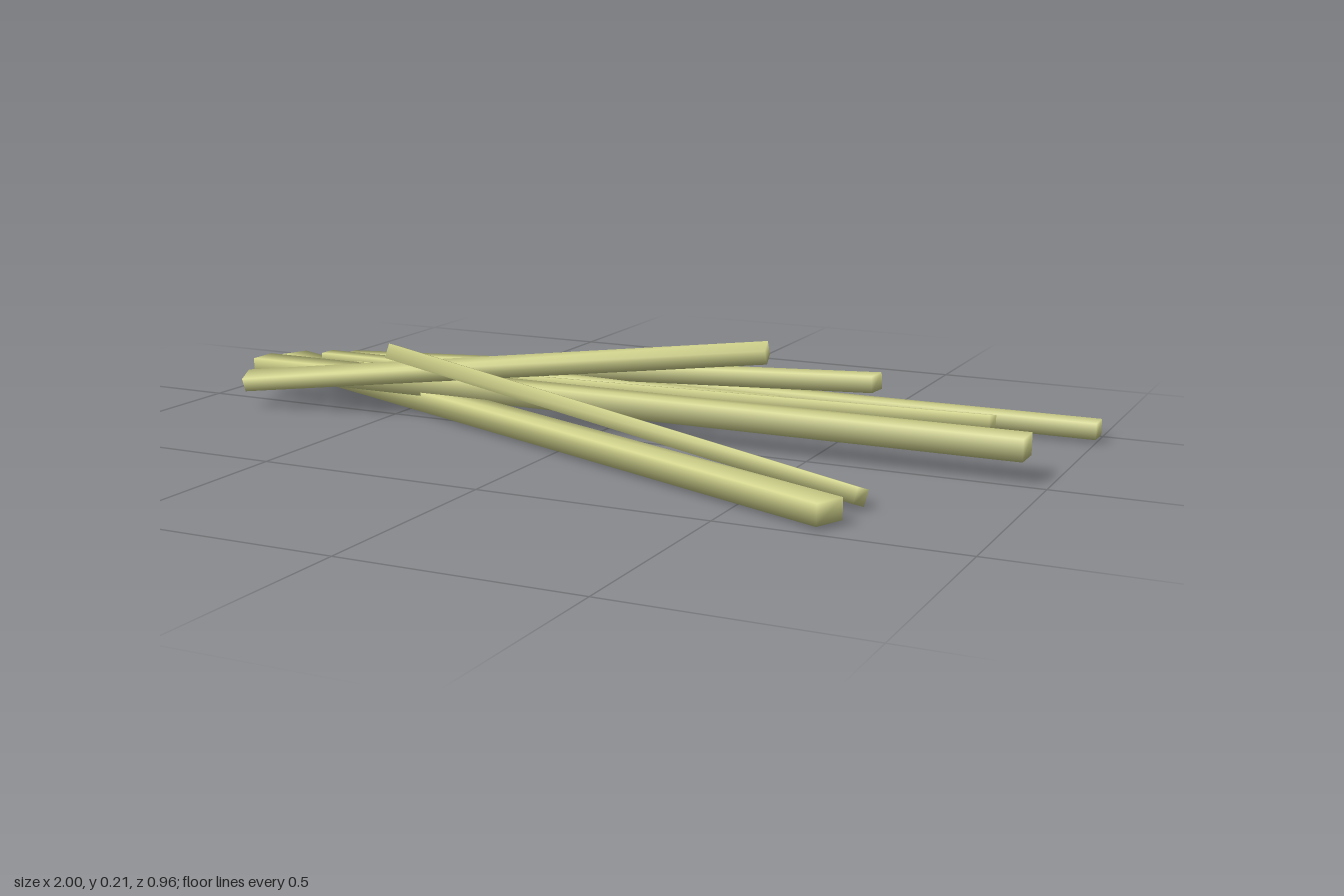
import * as THREE from 'three';
import { mergeVertices } from 'three/addons/utils/BufferGeometryUtils.js';

// name, left end, right end, height, width, roll about the plank's own length
const PLANKS = [
  ['rearPlank', [-0.45, 0.028, -0.456], [1, 0.028, -0.456], 0.036, 0.054, 0],
  ['leaningRearPlank', [-0.88, 0.03, -0.385], [0.565, 0.129, -0.25], 0.036, 0.055, 0],
  ['shortPlank', [-0.87, 0.055, -0.27], [0.33, 0.055, -0.27], 0.03, 0.045, 0],
  ['rolledPlank', [-0.7, 0.058, -0.172], [0.828, 0.071, -0.224], 0.036, 0.06, -0.2],
  ['middlePlank', [-0.908, 0.07, -0.055], [0.945, 0.07, -0.055], 0.047, 0.07, 0],
  ['diagonalBasePlank', [-0.985, 0.032, -0.293], [0.71, 0.032, 0.443], 0.044, 0.07, 0],
  ['raisedPlank', [-0.855, 0.063, 0.08], [0.35, 0.193, -0.152], 0.033, 0.045, 0.33],
  ['leaningFrontPlank', [-0.48, 0.154, 0.035], [0.72, 0.026, 0.297], 0.034, 0.045, -0.33],
];

// Box with shared corners, so its normals are smooth across the edges
function softBox(length, height, width) {
  const box = new THREE.BoxGeometry(length, height, width);
  box.deleteAttribute('normal');
  box.deleteAttribute('uv');
  const geometry = mergeVertices(box);
  geometry.computeVertexNormals();
  return geometry;
}

export function createModel() {
  const group = new THREE.Group();
  group.name = 'plankPile';
  const wood = new THREE.MeshStandardMaterial({ color: 0xd2d48c });

  for (const [name, from, to, height, width, roll] of PLANKS) {
    const a = new THREE.Vector3(...from);
    const b = new THREE.Vector3(...to);
    const d = b.clone().sub(a);
    const plank = new THREE.Mesh(softBox(d.length(), height, width), wood);
    plank.name = name;
    plank.position.copy(a).add(b).multiplyScalar(0.5);
    // turn, then tilt, then roll
    plank.rotation.set(roll, Math.atan2(-d.z, d.x), Math.atan2(d.y, Math.hypot(d.x, d.z)), 'YZX');
    group.add(plank);
  }
  return group;
}
